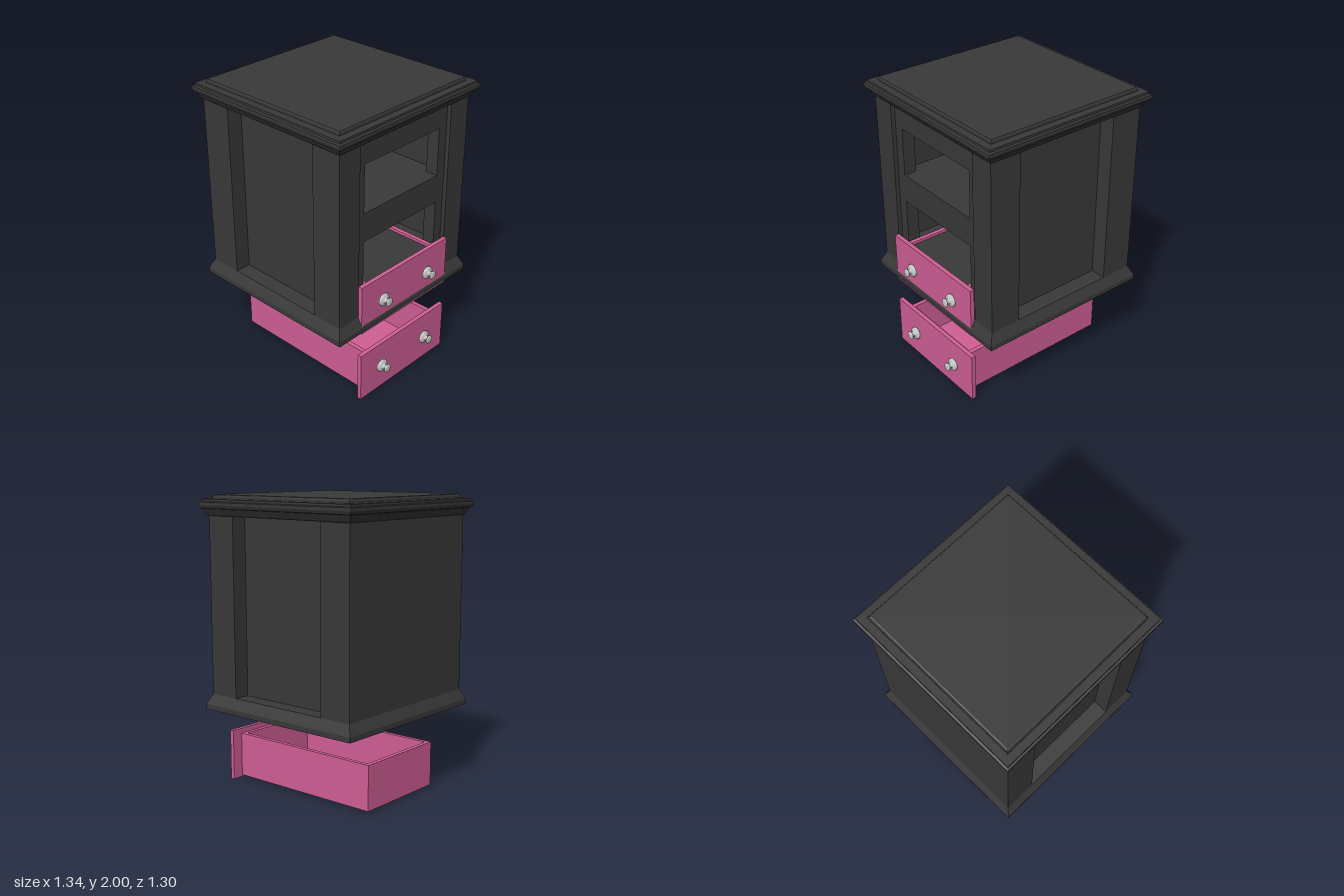
import * as THREE from 'three';

const dark = new THREE.MeshStandardMaterial({ color: 0x393939, flatShading: true });
const pink = new THREE.MeshStandardMaterial({ color: 0xd15f96 });
const metal = new THREE.MeshStandardMaterial({ color: 0xcccccc });

// Box given by its limits on each axis
function block(parent, name, material, [x0, x1], [y0, y1], [z0, z1]) {
  const mesh = new THREE.Mesh(new THREE.BoxGeometry(x1 - x0, y1 - y0, z1 - z0), material);
  mesh.position.set((x0 + x1) / 2, (y0 + y1) / 2, (z0 + z1) / 2);
  mesh.name = name;
  parent.add(mesh);
  return mesh;
}

// Moulding with a square plan: a four-sided lathe, profile in [half width, y]
function squareMoulding(name, profile) {
  const points = profile.map(([r, y]) => new THREE.Vector2(r * Math.SQRT2, y));
  const mesh = new THREE.Mesh(new THREE.LatheGeometry(points, 4, Math.PI / 4), dark);
  mesh.name = name;
  mesh.position.x = -0.02;
  return mesh;
}

function createKnob() {
  const profile = [
    [0, 0], [0.045, 0], [0.045, 0.012], [0.04, 0.02], [0.02, 0.021],
    [0.016, 0.032], [0.022, 0.045], [0.03, 0.05], [0.03, 0.056], [0.024, 0.061], [0, 0.061],
  ].map(([r, y]) => new THREE.Vector2(r, y));
  const knob = new THREE.Mesh(new THREE.LatheGeometry(profile, 24), metal);
  knob.name = 'knob';
  knob.rotation.z = -Math.PI / 2;
  return knob;
}

// Open-topped drawer with an overhanging front and two knobs
function createDrawer(name, y) {
  const drawer = new THREE.Group();
  drawer.name = name;
  const back = -0.565, face = 0.58, half = 0.345, t = 0.03, low = 0.013, high = 0.32;
  block(drawer, 'drawerFront', pink, [face, 0.61], [0, 0.355], [-0.424, 0.424]);
  block(drawer, 'drawerBottom', pink, [back, face], [low, low + t], [-half, half]);
  block(drawer, 'drawerBack', pink, [back, back + t], [low + t, high], [-half, half]);
  block(drawer, 'drawerInnerFront', pink, [face - t, face], [low + t, high], [-half, half]);
  for (const s of [-1, 1]) {
    const wall = block(drawer, 'drawerSide', pink, [back + t, face - t], [low + t, high], [half - t, half]);
    wall.position.z *= s;
    const knob = createKnob();
    knob.position.set(0.61, 0.175, s * 0.22);
    drawer.add(knob);
  }
  drawer.position.set(0, y, 0.003);
  return drawer;
}

function createCabinet() {
  const cabinet = new THREE.Group();
  cabinet.name = 'cabinet';
  const height = [0.655, 1.86];

  cabinet.add(squareMoulding('plinth', [
    [0, 0.55], [0.635, 0.55], [0.635, 0.585], [0.6, 0.655], [0, 0.655],
  ]));
  cabinet.add(squareMoulding('cornice', [
    [0, 1.86], [0.6, 1.86], [0.608, 1.868], [0.63, 1.907], [0.641, 1.91], [0.65, 1.93], [0.65, 1.95],
    [0.635, 1.955], [0.635, 1.97], [0.583, 1.97], [0.583, 1.985], [0.578, 1.996], [0.568, 2], [0, 2],
  ]));

  // Corner posts with recessed side panels between them
  for (const s of [-1, 1]) {
    const parts = [
      block(cabinet, 'frontPost', dark, [0.36, 0.58], height, [0.425, 0.6]),
      block(cabinet, 'backPost', dark, [-0.62, -0.39], height, [0.425, 0.6]),
      block(cabinet, 'sidePanel', dark, [-0.39, 0.36], height, [0.425, 0.49]),
    ];
    for (const part of parts) part.position.z *= s;
  }
  block(cabinet, 'backPanel', dark, [-0.62, -0.57], height, [-0.425, 0.425]);

  // Drawer frame with two openings, set back between the front posts
  const frame = new THREE.Shape();
  frame.moveTo(-0.425, 0.655).lineTo(0.425, 0.655).lineTo(0.425, 1.86).lineTo(-0.425, 1.86).closePath();
  for (const y of [0.835, 1.37]) {
    const hole = new THREE.Path();
    hole.moveTo(-0.352, y).lineTo(-0.352, y + 0.335).lineTo(0.352, y + 0.335).lineTo(0.352, y).closePath();
    frame.holes.push(hole);
  }
  const frameMesh = new THREE.Mesh(
    new THREE.ExtrudeGeometry(frame, { depth: 0.09, bevelEnabled: false }), dark);
  frameMesh.name = 'drawerFrame';
  frameMesh.rotation.y = Math.PI / 2;
  frameMesh.position.x = 0.46;
  cabinet.add(frameMesh);

  // Solid layers above and below the two drawer bays
  for (const [name, y0, y1] of [['lowerDeck', 0.655, 0.835], ['middleDeck', 1.17, 1.37], ['upperDeck', 1.705, 1.86]]) {
    block(cabinet, name, dark, [-0.57, 0.46], [y0, y1], [-0.425, 0.425]);
  }
  return cabinet;
}

export function createModel() {
  const model = new THREE.Group();
  model.name = 'nightstand';
  model.add(createCabinet());
  model.add(createDrawer('lowerDrawer', 0));
  model.add(createDrawer('upperDrawer', 0.535));
  return model;
}
